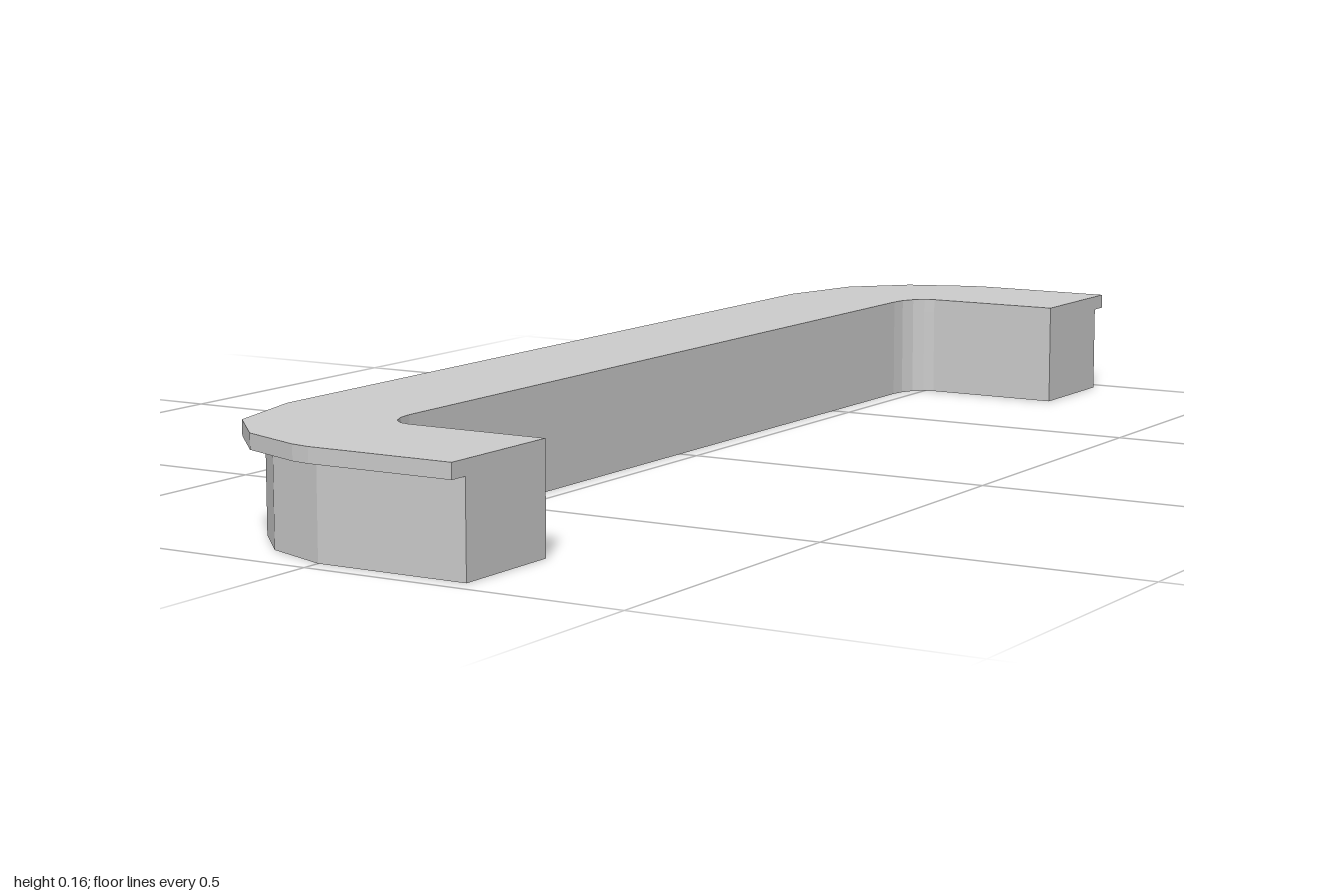
import * as THREE from 'three';

const INNER_X = -0.03, INNER_Z = 0.785, END_X = 0.24;

// C-shaped plan: faceted outer corner, small rounded inner corner, mirrored about z = 0
function planShape(outerCorner) {
  const half = [...outerCorner, [END_X, outerCorner.at(-1)[1]], [END_X, INNER_Z]];
  const steps = 4;
  for (let i = 0; i <= steps; i++) {
    const a = (i / steps) * Math.PI / 2;
    half.push([0.015 - 0.045 * Math.sin(a), 0.72 + (INNER_Z - 0.72) * Math.cos(a)]);
  }
  const mirrored = half.map(([x, z]) => [x, -z]).reverse();
  return new THREE.Shape([...half, ...mirrored].map(([x, z]) => new THREE.Vector2(x, z)));
}

// Extrude a plan upward from y0 to y1
function slab(name, outerCorner, y0, y1, material) {
  const geometry = new THREE.ExtrudeGeometry(planShape(outerCorner), { depth: y1 - y0, bevelEnabled: false });
  geometry.rotateX(-Math.PI / 2);
  geometry.translate(0, y0, 0);
  const mesh = new THREE.Mesh(geometry, material);
  mesh.name = name;
  return mesh;
}

export function createModel() {
  const group = new THREE.Group();
  group.name = 'counter';
  const grey = new THREE.MeshStandardMaterial({ color: 0xcccccc });
  grey.name = 'lightGrey';

  // Base body, set back from the top along the outside
  group.add(slab('base', [[-0.21, 0.72], [-0.178, 0.853], [-0.106, 0.928], [0, 0.97]], 0, 0.14, grey));
  // Thin overhanging top
  group.add(slab('top', [[-0.24, 0.725], [-0.203, 0.872], [-0.123, 0.955], [-0.02, 0.995], [0.01, 1]], 0.14, 0.163, grey));
  return group;
}
